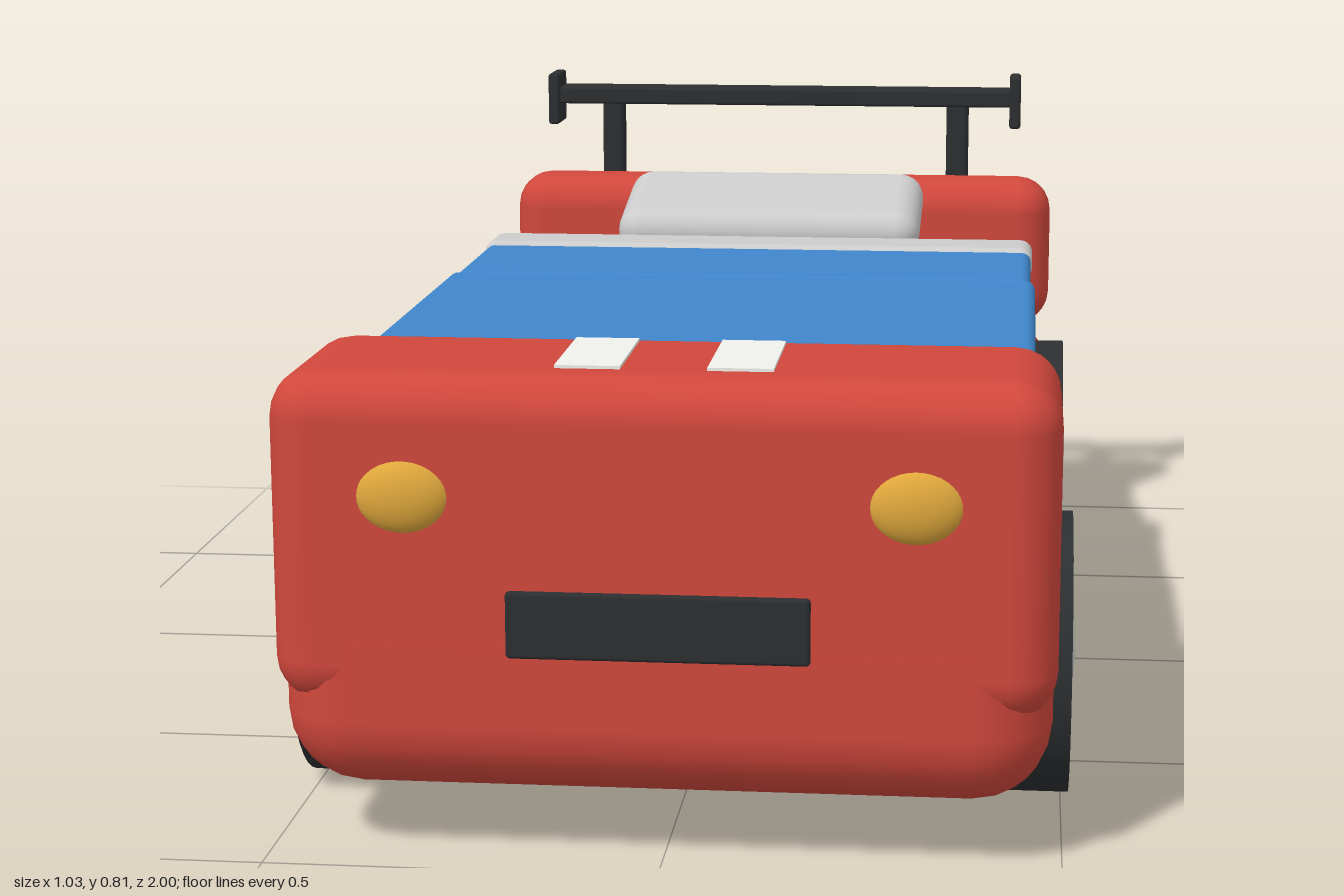
import * as THREE from 'three';
import { RoundedBoxGeometry } from 'three/addons/geometries/RoundedBoxGeometry.js';

const mat = (color) => new THREE.MeshStandardMaterial({ color });
const RED = mat(0xd0473c), BLUE = mat(0x3f86cc), DARK = mat(0x2c2e30);
const GREY = mat(0xcccccc), WHITE = mat(0xf0f0ec), YELLOW = mat(0xe0a83c);

export function createModel() {
  const model = new THREE.Group();
  model.name = 'carBed';

  const add = (name, geometry, material, x = 0, y = 0, z = 0) => {
    const mesh = new THREE.Mesh(geometry, material);
    mesh.name = name;
    mesh.position.set(x, y, z);
    model.add(mesh);
    return mesh;
  };
  // Rounded block given by its limits on each axis
  const block = (name, material, [x0, x1], [y0, y1], [z0, z1], radius, segments = 3) =>
    add(name, new RoundedBoxGeometry(x1 - x0, y1 - y0, z1 - z0, segments, radius), material,
      (x0 + x1) / 2, (y0 + y1) / 2, (z0 + z1) / 2);
  // Flattened sphere
  const dome = (name, material, pos, scale) => {
    const mesh = add(name, new THREE.SphereGeometry(1, 32, 20), material, ...pos);
    mesh.scale.set(...scale);
  };

  // Car body: chassis, hood as footboard, headboard
  block('chassis', RED, [-0.485, 0.485], [0.08, 0.38], [-0.997, 0.985], 0.1);
  block('hood', RED, [-0.49, 0.49], [0.195, 0.622], [0.657, 0.984], 0.06);
  block('headboard', RED, [-0.485, 0.485], [0.365, 0.63], [-0.995, -0.852], 0.06);

  // Bedding
  block('mattress', GREY, [-0.438, 0.438], [0.34, 0.525], [-0.84, 0.7], 0.025);
  block('blanket', BLUE, [-0.457, 0.457], [0.42, 0.578], [-0.09, 0.7], 0.015);
  block('blanketFold', BLUE, [-0.45, 0.45], [0.537, 0.577], [-0.39, -0.085], 0.015);
  block('sheetFold', GREY, [-0.453, 0.453], [0.53, 0.584], [-0.478, -0.36], 0.02);
  const pillow = add('pillow', new RoundedBoxGeometry(0.52, 0.085, 0.26, 3, 0.04), GREY, 0, 0.588, -0.698);
  pillow.rotation.x = 0.21;

  // Front details
  block('grille', DARK, [-0.188, 0.188], [0.272, 0.357], [0.95, 0.993], 0.005, 1);

  for (const s of [-1, 1]) {
    dome('headlight', YELLOW, [s * 0.315, 0.472, 0.975], [0.06, 0.048, 0.026]);
    add('hoodStripe', new THREE.BoxGeometry(0.082, 0.01, 0.19), WHITE, s * 0.095, 0.621, 0.815);
    dome('sideBadge', WHITE, [s * 0.482, 0.235, -0.025], [0.014, 0.073, 0.073]);

    // Wheels with domed hubs
    for (const z of [0.6, -0.655]) {
      const tire = add('wheel', new THREE.CylinderGeometry(0.188, 0.188, 0.082, 40), DARK, s * 0.469, 0.188, z);
      tire.rotation.z = Math.PI / 2;
      dome('hubcap', GREY, [s * 0.501, 0.19, z], [0.015, 0.095, 0.095]);
    }

    // Spoiler supports and end plates
    block('spoilerPost', DARK, [s * 0.315 - 0.02, s * 0.315 + 0.02], [0.61, 0.762], [-0.985, -0.948], 0.01, 2);
    block('spoilerEndPlate', DARK, [s * 0.419 - 0.01, s * 0.419 + 0.01], [0.718, 0.81], [-1, -0.908], 0.005, 1);
  }
  block('spoilerWing', DARK, [-0.412, 0.412], [0.755, 0.785], [-0.995, -0.92], 0.005, 1);

  return model;
}
